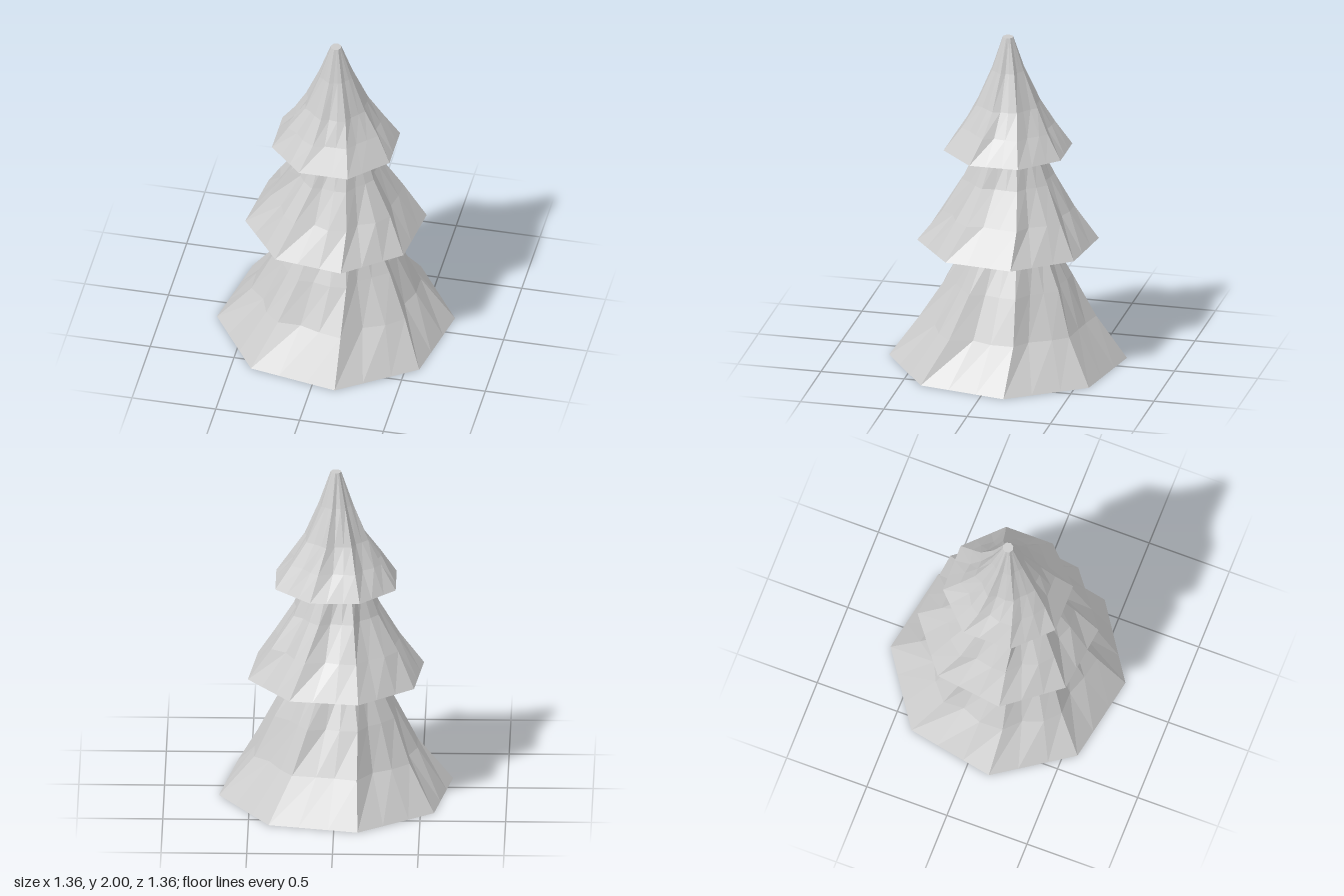
import * as THREE from 'three';

const SIDES = 8, PER_SIDE = 3, SEGS = SIDES * PER_SIDE;
const material = new THREE.MeshStandardMaterial({ color: 0xcccccc, flatShading: true, side: THREE.DoubleSide });

// Repeatable small variation in the range -1..1
function vary(i, j, k) {
  const s = Math.sin(i * 12.99 + j * 78.23 + k * 37.72) * 43758.55;
  return (s - Math.floor(s)) * 2 - 1;
}

// One skirt of branches: a concave, twisted, pleated octagonal cone.
// profile = [height, corner radius] from hem to tip; turn = hem angle in degrees
function makeTier(name, index, turn, profile) {
  const positions = [], indices = [];
  const last = profile.length - 1;
  const half = Math.PI / SIDES;
  profile.forEach(([y, r], j) => {
    const twist = THREE.MathUtils.degToRad(turn + 14 * j / last);
    const pleat = j === 0 || j === last ? 0 : 1;
    for (let i = 0; i < SEGS; i++) {
      // Straight octagon edges between corners, folded away from the hem
      const t = (i % PER_SIDE) / PER_SIDE;
      const a = Math.atan((2 * t - 1) * Math.tan(half)) + half;
      let rad = r * Math.cos(half) / Math.cos(a - half);
      const fold = [0.02, -0.035, 0.02][i % PER_SIDE];
      rad *= 1 + pleat * (fold + 0.03 * vary(i, j, index));
      const angle = Math.floor(i / PER_SIDE) * 2 * half + a + twist + pleat * 0.03 * vary(j, i, index + 5);
      positions.push(Math.sin(angle) * rad, y, Math.cos(angle) * rad);
    }
  });
  for (let j = 0; j < last; j++) {
    for (let i = 0; i < SEGS; i++) {
      const a = j * SEGS + i, b = j * SEGS + (i + 1) % SEGS;
      indices.push(a, b, b + SEGS, a, b + SEGS, a + SEGS);
    }
  }
  // Flat underside and flat tip
  const bottom = positions.length / 3, top = bottom + 1;
  positions.push(0, profile[0][0], 0, 0, profile[last][0], 0);
  for (let i = 0; i < SEGS; i++) {
    const n = (i + 1) % SEGS;
    indices.push(bottom, n, i, top, last * SEGS + i, last * SEGS + n);
  }
  const indexed = new THREE.BufferGeometry();
  indexed.setAttribute('position', new THREE.Float32BufferAttribute(positions, 3));
  indexed.setIndex(indices);
  const geometry = indexed.toNonIndexed();
  geometry.computeVertexNormals();
  const mesh = new THREE.Mesh(geometry, material);
  mesh.name = name;
  return mesh;
}

export function createModel() {
  const tree = new THREE.Group();
  tree.name = 'pineTree';
  tree.add(
    makeTier('lowerBranches', 1, 11.6, [[0, 0.694], [0.25, 0.5], [0.5, 0.365], [0.75, 0.24]]),
    makeTier('middleBranches', 2, 15.3, [[0.735, 0.53], [0.93, 0.39], [1.13, 0.265], [1.32, 0.185]]),
    makeTier('topBranches', 3, 22.5, [[1.31, 0.38], [1.45, 0.275], [1.59, 0.19], [1.8, 0.1], [2, 0.032]])
  );
  return tree;
}
